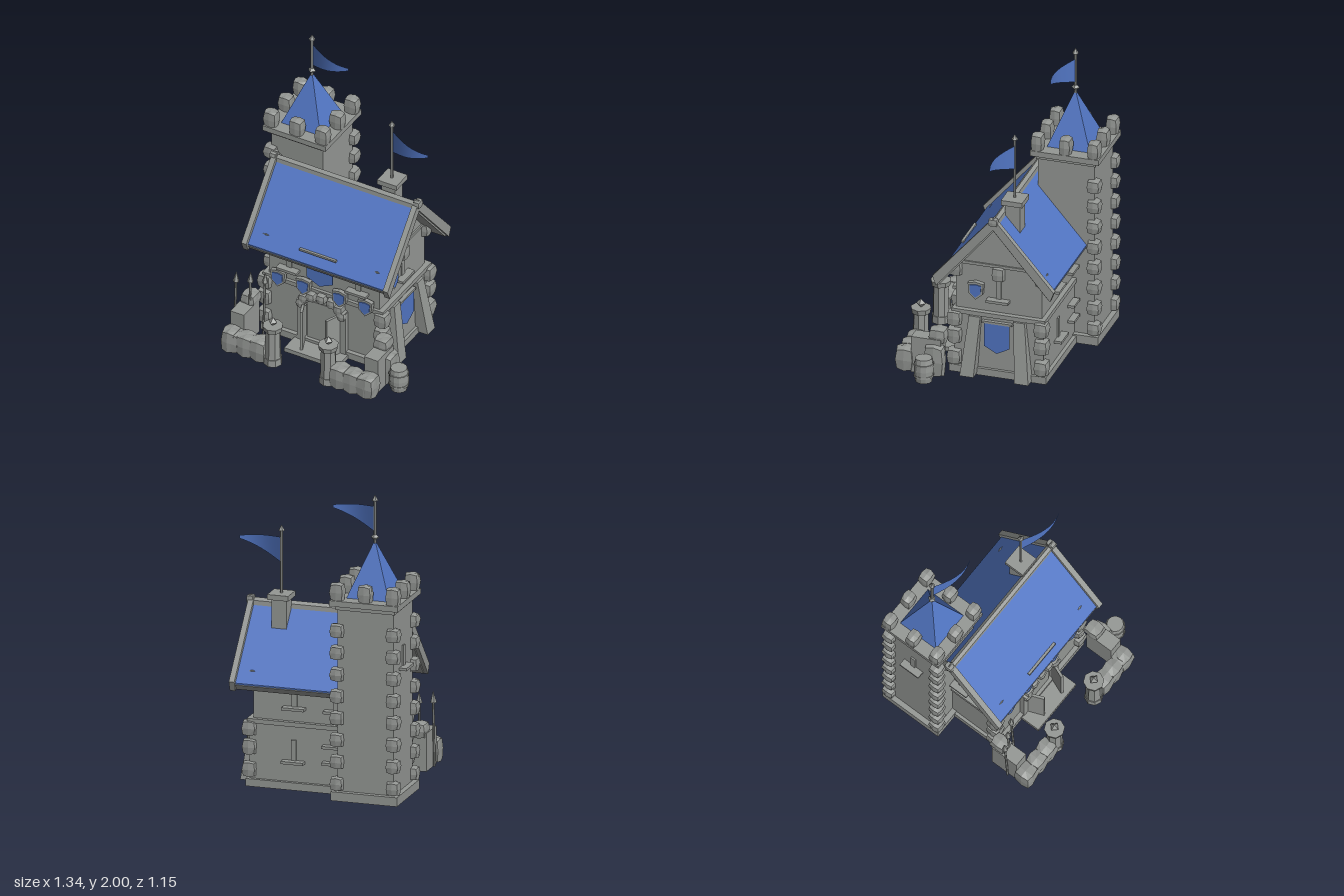
import * as THREE from 'three';

export function createModel() {
  const root = new THREE.Group();
  const stone = new THREE.MeshStandardMaterial({ color: 0x959895 });
  stone.name = 'stoneGray';
  const blue = new THREE.MeshStandardMaterial({ color: 0x5276c4, side: THREE.DoubleSide });
  blue.name = 'clothBlue';

  const add = (name, geo, mat = stone, x = 0, y = 0, z = 0, parent = root) => {
    const m = new THREE.Mesh(geo, mat);
    m.name = name;
    m.position.set(x, y, z);
    parent.add(m);
    return m;
  };
  const flat = (g) => {
    const f = g.index ? g.toNonIndexed() : g;
    f.computeVertexNormals();
    return f;
  };
  // Box given by its limits
  const box = (name, x0, x1, y0, y1, z0, z1, mat = stone) =>
    add(name, new THREE.BoxGeometry(x1 - x0, y1 - y0, z1 - z0), mat, (x0 + x1) / 2, (y0 + y1) / 2, (z0 + z1) / 2);
  // Outline of [z, y] points extruded along x
  const prism = (name, pts, x0, x1, mat = stone) => {
    const g = new THREE.ExtrudeGeometry(new THREE.Shape(pts.map((p) => new THREE.Vector2(...p))),
      { depth: x1 - x0, bevelEnabled: false });
    return add(name, g.rotateY(-Math.PI / 2), mat, x1, 0, 0);
  };
  const cyl = (name, r0, r1, h, x, y, z, n = 8, parent = root) =>
    add(name, flat(new THREE.CylinderGeometry(r0, r1, h, n)), stone, x, y + h / 2, z, parent);

  // Rough hewn block: a box with corners pulled in and a little jitter
  let seed = 7;
  const rnd = () => (seed = (seed * 16807) % 2147483647) / 2147483647;
  const block = (name, x, y, z, w, h, d) => {
    const g = new THREE.BoxGeometry(1, 1, 1, 2, 2, 2);
    const p = g.attributes.position, v = new THREE.Vector3(), jit = new Map();
    for (let i = 0; i < p.count; i++) {
      v.fromBufferAttribute(p, i);
      const key = [v.x, v.y, v.z].map((c) => Math.round(c * 2) + 1).join();
      if (!jit.has(key)) jit.set(key, 0.97 + rnd() * 0.08);
      const n = [v.x, v.y, v.z].filter((c) => Math.abs(c) > 0.1).length;
      v.multiplyScalar([1, 1, 0.94, 0.82][n] * jit.get(key));
      p.setXYZ(i, v.x * w, v.y * h, v.z * d);
    }
    return add(name, flat(g), stone, x, y, z);
  };

  // ---- Tower ----
  const tx = -0.43, tz = -0.34;
  box('towerPlinth', tx - 0.225, tx + 0.225, 0, 0.06, tz - 0.225, tz + 0.225);
  box('towerBody', tx - 0.19, tx + 0.19, 0, 1.3, tz - 0.19, tz + 0.19);
  box('towerCollar', tx - 0.2, tx + 0.2, 1.27, 1.3, tz - 0.2, tz + 0.2);
  box('towerParapet', tx - 0.232, tx + 0.232, 1.3, 1.338, tz - 0.232, tz + 0.232);
  for (let i = -1; i <= 1; i++) for (let j = -1; j <= 1; j++)
    if (i || j) block('merlon', tx + i * 0.19, 1.39, tz + j * 0.19, 0.09, 0.115, 0.075);
  for (const [sx, sz] of [[-1, -1], [1, -1], [-1, 1]])
    for (let i = 0; i < 8; i++)
      block('towerQuoin', tx + sx * 0.19, 0.11 + i * 0.146, tz + sz * 0.19, 0.085, 0.085, 0.085);
  const spire = new THREE.ConeGeometry(0.145 * Math.SQRT2, 0.365, 4, 1).rotateY(Math.PI / 4);
  add('towerRoof', flat(spire), blue, tx, 1.52, tz);
  add('spireKnob', flat(new THREE.OctahedronGeometry(0.028)), stone, tx, 1.72, tz);

  // ---- Flags ----
  const flag = (x, y, z, base, top) => {
    cyl('flagPole', 0.01, 0.01, top - base - 0.02, x, base, z, 6);
    cyl('poleTip', 0.002, 0.022, 0.035, x, top - 0.035, z, 5);
    const g = new THREE.PlaneGeometry(1, 1, 8, 1), p = g.attributes.position;
    for (let i = 0; i < p.count; i++) {
      const u = p.getX(i) + 0.5, up = p.getY(i) > 0;
      p.setXYZ(i, u * 0.3, up ? -0.035 * u : -0.165 + 0.11 * u, 0.08 * Math.sin(u * 2.1));
    }
    g.computeVertexNormals();
    add('flag', g, blue, x + 0.008, y, z);
  };
  flag(tx, 1.925, tz, 1.68, 2);
  flag(0.265, 1.605, -0.158, 1.23, 1.685);

  // ---- House walls ----
  const hz = -0.09, hx = -0.03;
  box('housePlinth', -0.48, 0.42, 0, 0.05, -0.42, 0.235);
  box('lowerWalls', -0.46, 0.4, 0.02, 0.43, -0.395, 0.205);
  box('floorBelt', -0.475, 0.415, 0.42, 0.45, -0.41, 0.22);
  prism('upperWalls', [[hz + 0.29, 0.44], [hz + 0.29, 0.77], [hz, 1.09], [hz - 0.29, 0.77], [hz - 0.29, 0.44]], -0.44, 0.38);
  box('gableBelt', -0.45, 0.39, 0.77, 0.79, hz - 0.27, hz + 0.27);
  for (const sx of [-1, 1]) {
    for (const z of [0.2, -0.385])
      for (const y of [0.11, 0.26, 0.385]) block('houseQuoin', hx + sx * 0.43, y, z, 0.09, 0.1, 0.09);
    for (const z of [0.2, hz, -0.38]) block('gableCorbel', hx + sx * 0.41, 0.73, z, 0.08, 0.095, 0.08);
  }

  // ---- Main roof ----
  const chevron = (name, apex, half, t, x0, x1, mat) => {
    const e = apex - half * 1.16;
    prism(name, [[hz + half, e], [hz, apex], [hz - half, e], [hz - half + 0.025, e - t + 0.02], [hz, apex - t], [hz + half - 0.025, e - t + 0.02]], x0, x1, mat);
  };
  chevron('roofBoards', 1.138, 0.39, 0.055, -0.55, 0.49);
  for (const s of [-1, 1])
    prism('roofPanel', [[hz, 1.147], [hz + s * 0.387, 0.698], [hz + s * 0.387, 0.688], [hz, 1.137]], -0.54, 0.475, blue);
  for (const x of [-0.575, 0.47]) chevron('bargeBoard', 1.185, 0.41, 0.085, x, x + 0.037);
  prism('ridgeCap', [[hz + 0.024, 1.112], [hz + 0.02, 1.15], [hz, 1.168], [hz - 0.02, 1.15], [hz - 0.024, 1.112]], -0.55, 0.49);
  for (const x of [-0.565, 0.497]) block('ridgeEnd', x, 1.155, hz, 0.045, 0.05, 0.06);

  // ---- Chimney ----
  box('chimney', 0.215, 0.315, 0.96, 1.21, -0.21, -0.11);
  box('chimneyCap', 0.195, 0.338, 1.2, 1.235, -0.232, -0.088);

  // ---- Arrow slits with sills ----
  const slit = (x, y, z, turn) => {
    const g = new THREE.Group();
    g.name = 'arrowSlit';
    g.position.set(x, y, z);
    g.rotation.y = turn;
    root.add(g);
    add('slit', new THREE.BoxGeometry(0.035, 0.14, 0.02), stone, 0, 0, 0, g);
    add('sill', new THREE.BoxGeometry(0.15, 0.018, 0.06), stone, 0, -0.075, 0.02, g);
  };
  const Q = Math.PI / 2;
  for (const x of [-0.285, 0.225]) slit(x, 0.615, 0.2, 0);
  for (const [x, y] of [[0.1, 0.615], [-0.18, 0.615], [0.1, 0.26]]) slit(x, y, y > 0.5 ? -0.38 : -0.395, Math.PI);
  for (const s of [-1, 1]) slit(hx + s * 0.41, 0.615, hz, s * Q);
  slit(-0.62, 0.95, tz, -Q);
  for (const y of [0.19, 0.3]) box('backLedge', -0.22, -0.1, y, y + 0.018, -0.44, -0.39);

  // ---- Shields ----
  const shieldShape = (s) => {
    const h = new THREE.Shape();
    h.moveTo(-0.05 * s, 0.05 * s);
    h.lineTo(-0.045 * s, -0.02 * s);
    h.lineTo(0, -0.06 * s);
    h.lineTo(0.045 * s, -0.02 * s);
    h.lineTo(0.05 * s, 0.05 * s);
    h.lineTo(0, 0.06 * s);
    return h;
  };
  const shield = (x, y, z, turn) => {
    const g = new THREE.Group();
    g.name = 'shield';
    g.position.set(x, y, z);
    g.rotation.y = turn;
    root.add(g);
    add('shieldRim', new THREE.ExtrudeGeometry(shieldShape(1.05), { depth: 0.03, bevelEnabled: false }), stone, 0, 0, 0, g);
    add('shieldFace', new THREE.ExtrudeGeometry(shieldShape(0.78), { depth: 0.006, bevelEnabled: false }), blue, 0, 0, 0.03, g);
  };
  for (const x of [-0.352, -0.165, 0.102, 0.293]) shield(x, 0.455, 0.212, 0);
  shield(0.38, 0.595, 0.06, Q);
  shield(-0.44, 0.595, 0.06, -Q);

  // ---- Hanging banners ----
  const banner = (w, h, x, y, z, turn) => {
    const s = new THREE.Shape([[-w, 0], [-w, -h + 0.045], [0, -h], [w, -h + 0.045], [w, 0]].map((p) => new THREE.Vector2(...p)));
    add('banner', new THREE.ExtrudeGeometry(s, { depth: 0.008, bevelEnabled: false }), blue, x, y, z).rotation.y = turn;
  };
  banner(0.095, 0.25, -0.035, 0.765, 0.245, 0);
  box('bannerRod', -0.18, 0.09, 0.757, 0.77, 0.245, 0.262);
  banner(0.085, 0.215, 0.412, 0.385, -0.087, Q);
  box('sideBannerRod', 0.4, 0.425, 0.38, 0.395, -0.19, 0.015);

  // ---- Sloping buttresses on the gable side ----
  for (const s of [-1, 1]) {
    const g = new THREE.BoxGeometry(0.1, 0.41, 0.085).translate(0, 0.205, 0), p = g.attributes.position;
    for (let i = 0; i < p.count; i++) {
      const low = p.getY(i) < 0.1;
      if (p.getX(i) > 0) p.setX(i, low ? 0.09 : 0.03);
      p.setZ(i, p.getZ(i) * (low ? 1.1 : 0.9) + (low ? s * 0.035 : 0));
    }
    add('buttress', flat(g), stone, 0.4, 0.01, hz + s * 0.15);
  }

  // ---- Doorway ----
  box('doorStep', -0.23, 0.165, 0, 0.03, 0.2, 0.37);
  box('doorBack', -0.15, 0.08, 0.03, 0.34, 0.2, 0.212);
  for (const s of [-1, 1]) {
    box('doorJamb', hx + s * 0.155 - 0.025, hx + s * 0.155 + 0.025, 0.03, 0.35, 0.2, 0.24);
    add('doorLeaf', new THREE.BoxGeometry(0.018, 0.3, 0.14), stone, hx + s * 0.118, 0.18, 0.272).rotation.y = -s * 0.38;
  }
  for (let i = 0; i < 7; i++) {
    const a = (i / 6) * Math.PI;
    block('archStone', hx + Math.cos(a) * 0.15, 0.33 + Math.sin(a) * 0.08, 0.225, 0.06, 0.06, 0.075);
  }

  // ---- Courtyard wall, mirrored about the doorway ----
  for (const s of [-1, 1]) {
    const px = hx + s * 0.205, pz = 0.505;
    cyl('gatePostBase', 0.06, 0.062, 0.05, px, 0, pz);
    cyl('gatePost', 0.05, 0.055, 0.25, px, 0.02, pz);
    cyl('gatePostCap', 0.068, 0.062, 0.035, px, 0.262, pz);
    add('gatePostFinial', flat(new THREE.OctahedronGeometry(0.032)), stone, px, 0.325, pz);
    for (let i = 0; i < 3; i++)
      block('wallStone', hx + s * (0.295 + i * 0.1), 0.08, 0.508, 0.115, 0.16 - i * 0.005, 0.115);
    block('cornerStone', hx + s * 0.51, 0.08, 0.508, 0.1, 0.16, 0.12);
    box('sideWall', hx + s * 0.495 - 0.05, hx + s * 0.495 + 0.05, 0, 0.255, 0.26, 0.46);
    block('sideWallTop', hx + s * 0.49, 0.27, 0.29, 0.1, 0.1, 0.11);
  }
  block('looseStone', 0.51, 0.11, 0.3, 0.09, 0.22, 0.13);

  // ---- Leaning spears ----
  for (const [x, z] of [[-0.583, 0.375], [-0.5, 0.335], [-0.415, 0.295]]) {
    const g = new THREE.Group();
    g.name = 'spear';
    g.position.set(x, 0, z + 0.02);
    g.rotation.x = -0.05;
    root.add(g);
    cyl('spearShaft', 0.008, 0.008, 0.45, 0, 0, 0, 6, g);
    cyl('spearHead', 0.001, 0.022, 0.075, 0, 0.435, 0, 5, g);
  }

  // ---- Barrel ----
  const prof = [[0, 0], [0.054, 0], [0.063, 0.05], [0.065, 0.083], [0.063, 0.115], [0.054, 0.165], [0, 0.165]];
  add('barrel', flat(new THREE.LatheGeometry(prof.map((p) => new THREE.Vector2(...p)), 12)), stone, 0.605, 0, 0.345);
  for (const y of [0.035, 0.115]) cyl('barrelHoop', 0.066, 0.066, 0.014, 0.605, y, 0.345, 12);

  return root;
}
